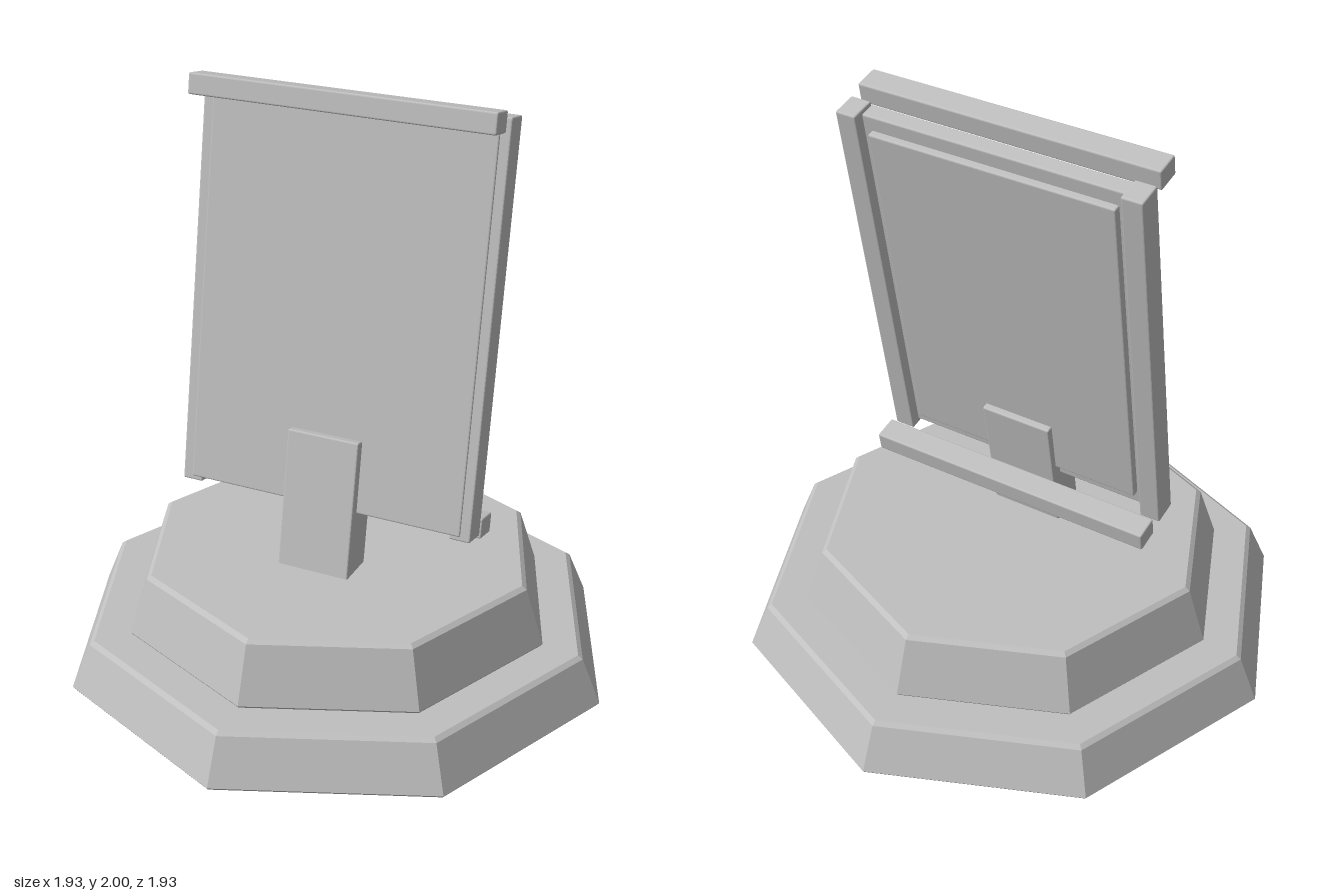
import * as THREE from 'three';
import { RoundedBoxGeometry } from 'three/addons/geometries/RoundedBoxGeometry.js';

export function createModel() {
  const model = new THREE.Group();
  model.name = 'displayStand';
  const grey = new THREE.MeshStandardMaterial({ color: 0xbfbfbf, flatShading: true });
  grey.name = 'plain grey';
  const tilt = THREE.MathUtils.degToRad(-10);

  // Softly bevelled box
  function block(parent, name, size, pos, rotX = 0) {
    const mesh = new THREE.Mesh(new RoundedBoxGeometry(...size, 2, 0.006), grey);
    mesh.name = name;
    mesh.position.set(...pos);
    mesh.rotation.x = rotX;
    parent.add(mesh);
  }

  // Tapered octagonal tier with bevelled rims
  function tier(name, y0, y1, r0, r1) {
    const profile = [
      [0, y0], [r0 - 0.006, y0], [r0, y0 + 0.008],
      [r1 + 0.005, y1 - 0.012], [r1 - 0.012, y1], [0, y1],
    ].map(([r, y]) => new THREE.Vector2(r, y));
    const mesh = new THREE.Mesh(new THREE.LatheGeometry(profile, 8), grey);
    mesh.name = name;
    model.add(mesh);
  }
  tier('lowerBase', 0, 0.175, 0.965, 0.893);
  tier('upperBase', 0.175, 0.39, 0.755, 0.685);

  // Leaning support, sunk into the base
  block(model, 'support', [0.26, 0.56, 0.135], [0, 0.573, 0.115], THREE.MathUtils.degToRad(-10.5));

  // Tilted panel with side rails and a raised back plate
  const panel = new THREE.Group();
  panel.name = 'panel';
  panel.position.set(0, 1.265, -0.022);
  panel.rotation.x = tilt;
  model.add(panel);
  block(panel, 'screen', [1.0, 1.355, 0.058], [0, 0, 0.021]);
  block(panel, 'backPlate', [0.87, 1.25, 0.03], [0, 0, -0.017]);
  for (const side of [1, -1]) {
    block(panel, side > 0 ? 'leftRail' : 'rightRail', [0.074, 1.385, 0.09], [side * 0.498, 0, 0]);
  }

  // Floating cross bars
  block(model, 'topBar', [1.06, 0.07, 0.087], [0, 1.958, -0.021], tilt);
  block(model, 'bottomBar', [1.06, 0.07, 0.087], [0, 0.574, -0.021], tilt);

  return model;
}
